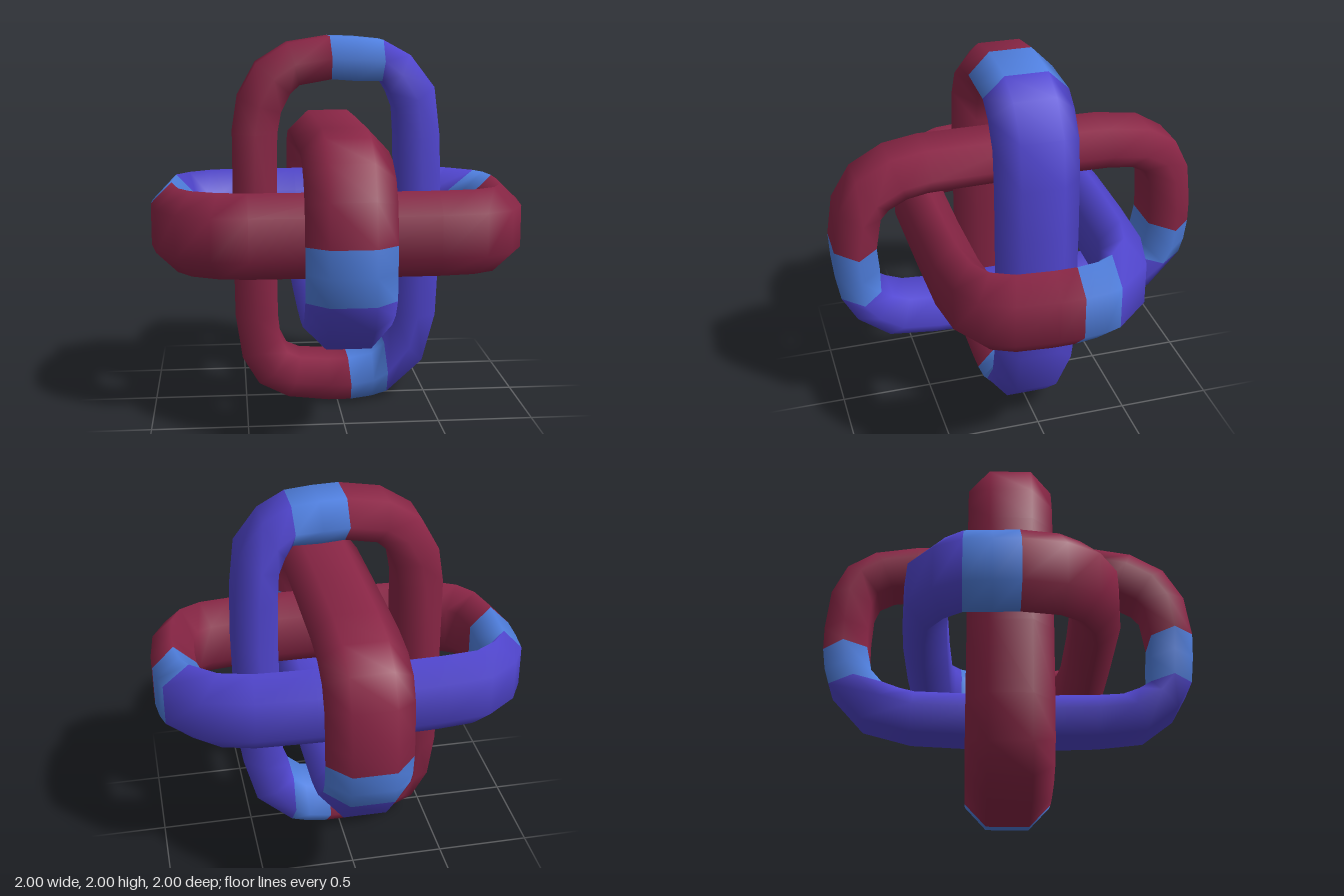
import * as THREE from 'three';

const red = new THREE.MeshStandardMaterial({ name: 'wine red', color: 0x8a2646 });
const sky = new THREE.MeshStandardMaterial({ name: 'light blue', color: 0x5080e0 });
const violet = new THREE.MeshStandardMaterial({ name: 'violet blue', color: 0x5146d0 });

// Stations clockwise round one link: outer x, y, then inner x, y
const stations = [
  [-0.04, 2.0, -0.03, 1.775], [0.1, 1.995, 0.1, 1.765], [0.245, 1.98, 0.24, 1.765],
  [0.39, 1.9, 0.28, 1.7], [0.52, 1.73, 0.315, 1.61], [0.55, 1.48, 0.325, 1.46],
  [0.56, 1.2, 0.33, 1.2], [0.555, 0.8, 0.325, 0.8], [0.54, 0.48, 0.315, 0.5],
  [0.47, 0.22, 0.295, 0.42], [0.275, 0.045, 0.26, 0.325], [0.19, 0.02, 0.19, 0.265],
  [0.075, 0.005, 0.06, 0.24], [-0.05, 0.005, -0.05, 0.24], [-0.27, 0.03, -0.2, 0.25],
  [-0.43, 0.11, -0.27, 0.28], [-0.52, 0.26, -0.31, 0.36], [-0.555, 0.5, -0.325, 0.5],
  [-0.56, 0.9, -0.33, 0.9], [-0.56, 1.49, -0.32, 1.49], [-0.53, 1.68, -0.3, 1.6],
  [-0.43, 1.86, -0.25, 1.7], [-0.26, 1.965, -0.2, 1.745],
];
// Colour bands: first station, number of stations, material index
const bands = [[0, 2, 1], [2, 8, 2], [10, 2, 1], [12, 11, 0]];
const SIDES = 6, HALF_WIDTH = 0.225;

// One link: a closed sweep of a flattened hexagon, centred on the origin
function linkGeometry() {
  const positions = [], index = [], n = stations.length;
  for (const [ox, oy, ix, iy] of stations) {
    for (let k = 0; k < SIDES; k++) {
      const a = (k / SIDES) * Math.PI * 2;
      const t = 0.5 + 0.5 * Math.sin(a) / Math.sin(Math.PI / 3);
      positions.push(ix + (ox - ix) * t, iy + (oy - iy) * t - 1, HALF_WIDTH * Math.cos(a));
    }
  }
  for (let i = 0; i < n; i++) {
    for (let k = 0; k < SIDES; k++) {
      const i2 = (i + 1) % n, k2 = (k + 1) % SIDES;
      const a = i * SIDES + k, b = i2 * SIDES + k, c = i2 * SIDES + k2, d = i * SIDES + k2;
      index.push(a, b, c, a, c, d);
    }
  }
  const g = new THREE.BufferGeometry();
  g.setAttribute('position', new THREE.Float32BufferAttribute(positions, 3));
  g.setIndex(index);
  g.computeVertexNormals();
  for (const [start, count, m] of bands) g.addGroup(start * SIDES * 6, count * SIDES * 6, m);
  return g;
}

export function createModel() {
  const group = new THREE.Group();
  group.name = 'interlockedLinks';
  const geometry = linkGeometry();
  const v = (x, y, z) => new THREE.Vector3(x, y, z);

  // Three identical links on perpendicular planes: short axis, long axis, width axis
  const links = [
    ['uprightLink', v(1, 0, 0), v(0, 1, 0), v(0, 0, 1)],
    ['frontToBackLink', v(0, -1, 0), v(0, 0, 1), v(-1, 0, 0)],
    ['sidewaysLink', v(0, 0, -1), v(-1, 0, 0), v(0, 1, 0)],
  ];
  for (const [name, shortAxis, longAxis, widthAxis] of links) {
    const mesh = new THREE.Mesh(geometry, [red, sky, violet]);
    mesh.name = name;
    mesh.quaternion.setFromRotationMatrix(new THREE.Matrix4().makeBasis(shortAxis, longAxis, widthAxis));
    mesh.position.y = 1;
    group.add(mesh);
  }
  return group;
}
